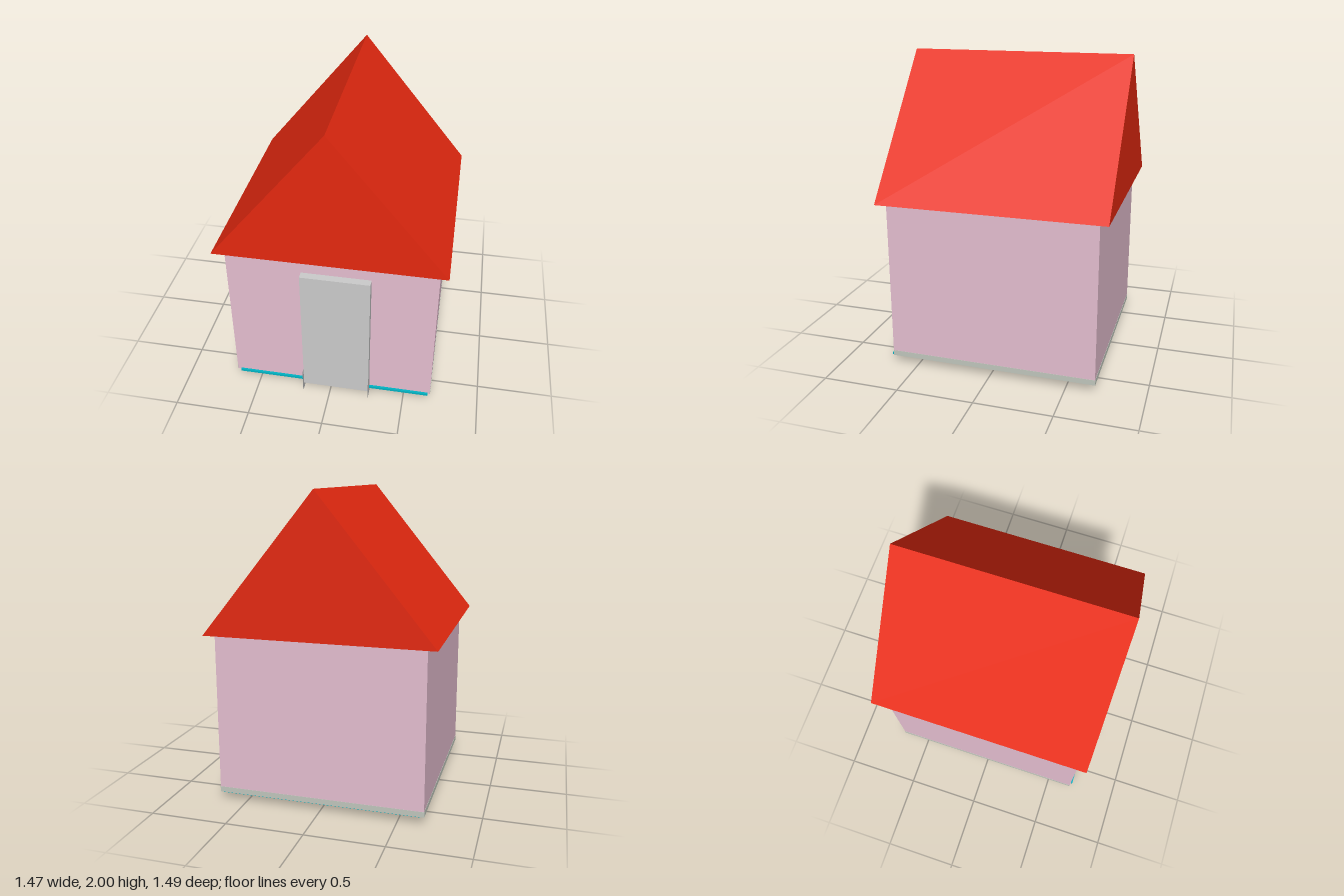
import * as THREE from 'three';

const material = (color) => new THREE.MeshStandardMaterial({ color, flatShading: true, side: THREE.DoubleSide });

// Box given by its lower and upper corners
function box(name, [x0, y0, z0], [x1, y1, z1], mat) {
  const mesh = new THREE.Mesh(new THREE.BoxGeometry(x1 - x0, y1 - y0, z1 - z0), mat);
  mesh.position.set((x0 + x1) / 2, (y0 + y1) / 2, (z0 + z1) / 2);
  mesh.name = name;
  return mesh;
}

export function createModel() {
  const house = new THREE.Group();
  house.name = 'house';
  const pink = material(0xe6bfd1);
  const red = material(0xe62910);
  const teal = material(0x00b4c4);
  const grey = material(0xcccccc);
  const mossy = material(0xc2c8be);

  // Walls and floor slab
  house.add(box('walls', [-0.665, 0.05, -0.685], [0.68, 1.105, 0.67], pink));
  house.add(box('floor', [-0.64, 0.045, -0.68], [0.665, 0.06, 0.685], teal));

  // Pale strip along the foot of the side and back walls
  const strips = [
    ['leftFootStrip', [0.679, 0.05, -0.685], [0.682, 0.085, 0.67]],
    ['rightFootStrip', [-0.667, 0.05, -0.685], [-0.664, 0.085, 0.67]],
    ['backFootStrip', [-0.665, 0.05, -0.687], [0.68, 0.085, -0.684]],
  ];
  for (const [name, low, high] of strips) house.add(box(name, low, high, mossy));

  // Gabled roof: a triangle extruded from back to front
  const gable = new THREE.Shape([
    new THREE.Vector2(-0.733, 1.105),
    new THREE.Vector2(0.733, 1.105),
    new THREE.Vector2(0, 2),
  ]);
  const roof = new THREE.Mesh(new THREE.ExtrudeGeometry(gable, { depth: 1.47, bevelEnabled: false }), red);
  roof.position.z = -0.745;
  roof.name = 'roof';
  house.add(roof);

  // Door with a paper-thin plate at the foot of each edge
  house.add(box('door', [-0.18, 0.05, 0.665], [0.265, 0.99, 0.72], grey));
  for (const [name, x] of [['rightDoorPlate', -0.181], ['leftDoorPlate', 0.266]]) {
    const plate = new THREE.Mesh(new THREE.PlaneGeometry(0.18, 0.18), grey);
    plate.rotation.y = Math.PI / 2;
    plate.position.set(x, 0.09, 0.657);
    plate.name = name;
    house.add(plate);
  }
  return house;
}
